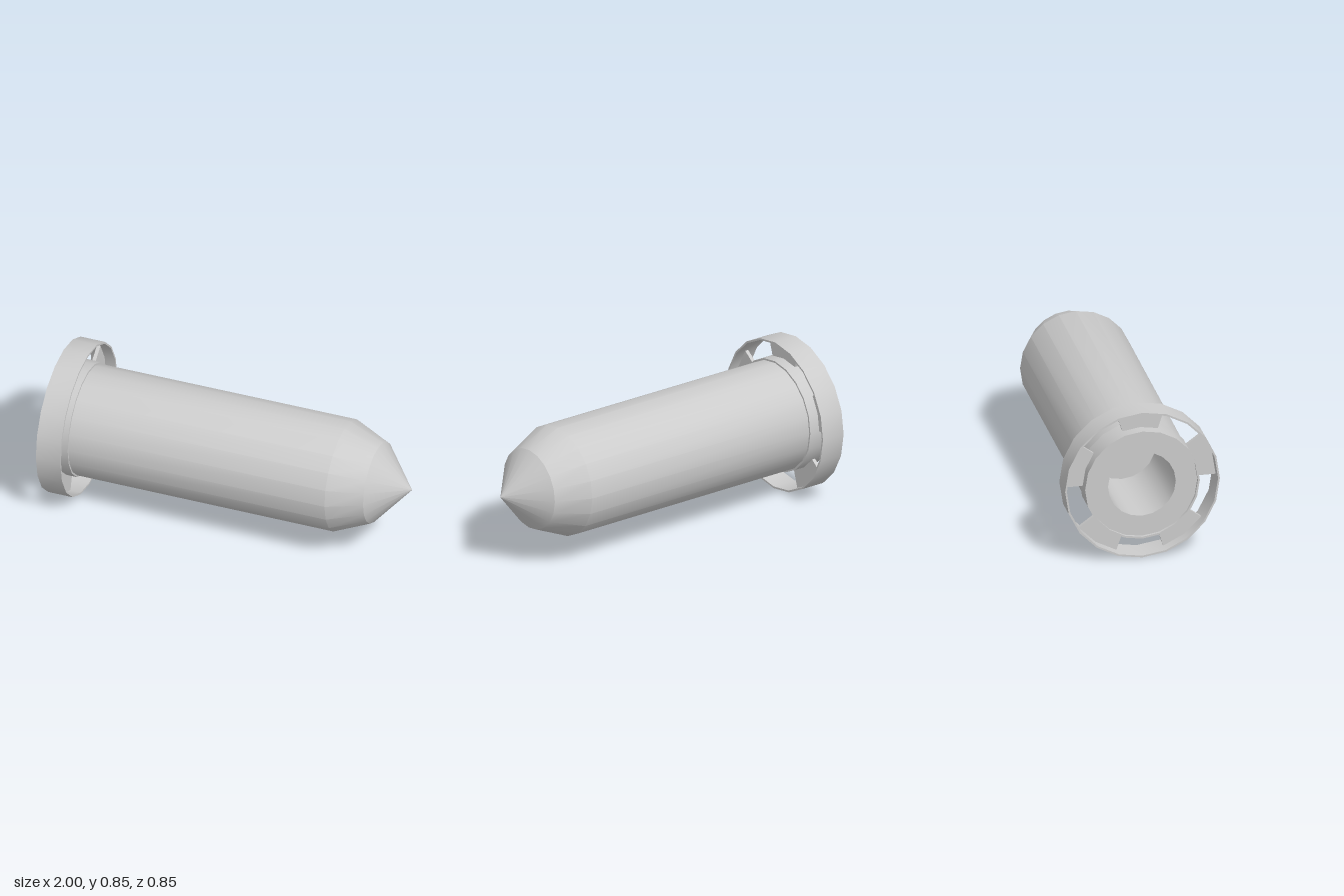
import * as THREE from 'three';
import { toCreasedNormals } from 'three/addons/utils/BufferGeometryUtils.js';

const SIDES = 20;
const material = new THREE.MeshStandardMaterial({ color: 0xcccccc });

// Solid of revolution around the x axis from [x, radius] pairs
function turned(name, profile) {
  const points = profile.map(([x, r]) => new THREE.Vector2(r, x));
  const geometry = new THREE.LatheGeometry(points, SIDES).rotateZ(-Math.PI / 2);
  const mesh = new THREE.Mesh(toCreasedNormals(geometry, 0.425), material);
  mesh.name = name;
  return mesh;
}

// Thin-walled tube with closed rims
function band(name, x0, x1, inner, outer) {
  return turned(name, [[x0, inner], [x0, outer], [x1, outer], [x1, inner], [x0, inner]]);
}

// Flat two-facet sector plate joining the sleeve to the outer ring
function spoke(angle, inner, outer, x, thickness) {
  const step = (2 * Math.PI) / SIDES;
  const at = (r, k) => new THREE.Vector2(r * Math.cos(angle + k * step), r * Math.sin(angle + k * step));
  const shape = new THREE.Shape([
    at(outer, -1), at(outer, 0), at(outer, 1), at(inner, 1), at(inner, 0), at(inner, -1),
  ]);
  const geometry = new THREE.ExtrudeGeometry(shape, { depth: thickness, bevelEnabled: false });
  geometry.rotateY(Math.PI / 2).translate(x, 0, 0);
  const mesh = new THREE.Mesh(geometry, material);
  mesh.name = 'spoke';
  return mesh;
}

export function createModel() {
  const model = new THREE.Group();
  model.name = 'finnedShell';

  // Everything shares one axis, tipped slightly nose up
  const axis = new THREE.Group();
  axis.name = 'tiltedAxis';
  axis.position.y = 0.4347;
  axis.rotation.z = 0.0104;
  model.add(axis);

  // Body with rear bore, tapered shoulder and pointed nose
  axis.add(turned('body', [
    [-0.5, 0], [-0.5, 0.186], [-0.985, 0.186], [-0.985, 0.305],
    [0.61, 0.307], [0.8, 0.225], [0.995, 0],
  ]));

  // Tail ring, sleeve and the five spokes between them
  const tail = new THREE.Group();
  tail.name = 'tail';
  tail.add(band('outerRing', -1, -0.86, 0.415, 0.425));
  tail.add(band('sleeve', -1, -0.86, 0.304, 0.315));
  for (let i = 0; i < 5; i++) {
    tail.add(spoke(Math.PI / 2 + (i * 2 * Math.PI) / 5, 0.312, 0.418, -0.94, 0.02));
  }
  axis.add(tail);

  return model;
}
